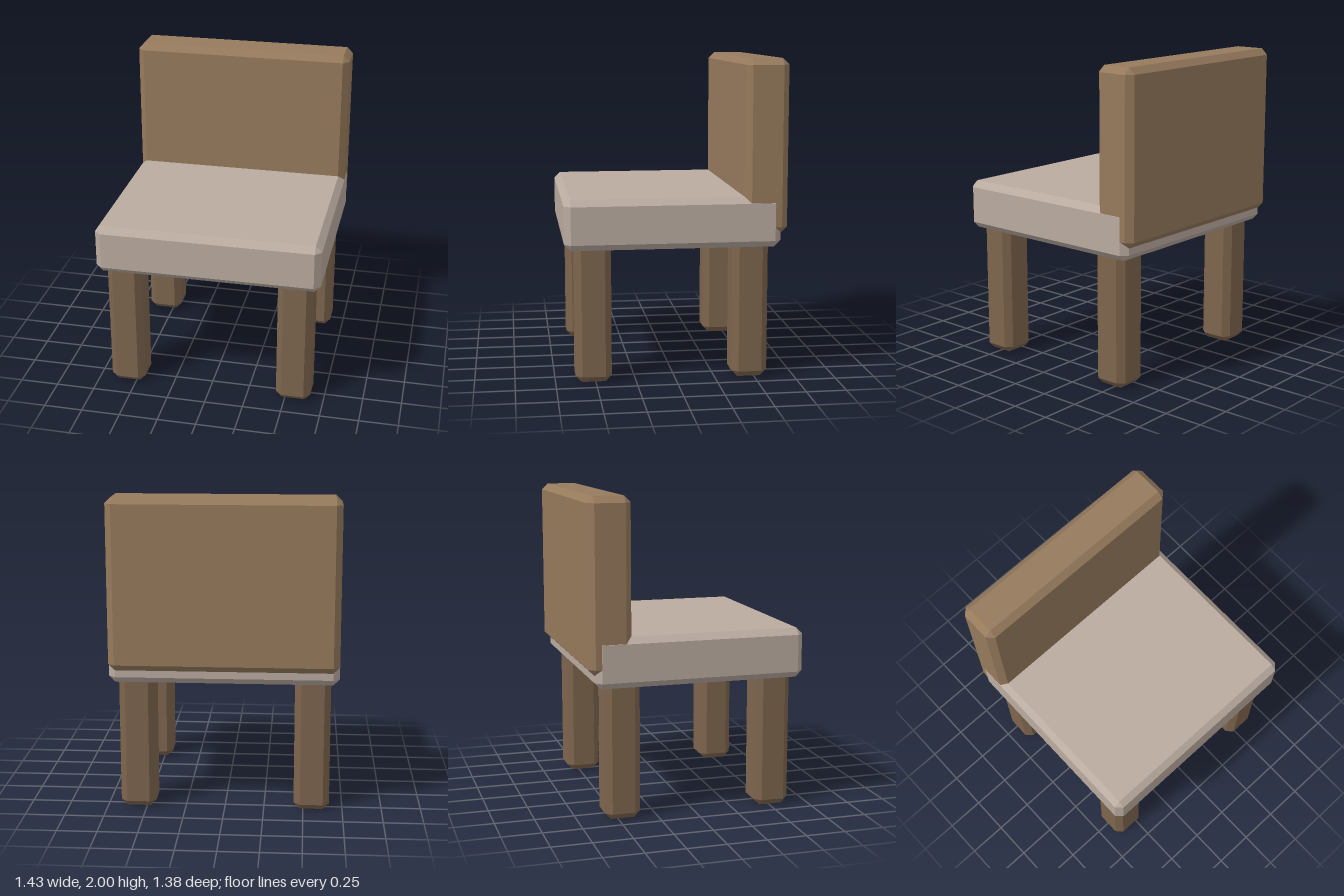
import * as THREE from 'three';
import { ConvexGeometry } from 'three/addons/geometries/ConvexGeometry.js';

const BEVEL = 0.04;

// Box with evenly chamfered edges: three points around each corner
function chamferBox(w, h, d, c = BEVEL) {
  const points = [];
  for (const sx of [-1, 1]) for (const sy of [-1, 1]) for (const sz of [-1, 1]) {
    const x = w / 2, y = h / 2, z = d / 2;
    points.push(
      new THREE.Vector3(sx * x, sy * (y - c), sz * (z - c)),
      new THREE.Vector3(sx * (x - c), sy * y, sz * (z - c)),
      new THREE.Vector3(sx * (x - c), sy * (y - c), sz * z)
    );
  }
  return new ConvexGeometry(points);
}

export function createModel() {
  const chair = new THREE.Group();
  chair.name = 'chair';

  const paint = (color) => new THREE.MeshStandardMaterial({ color, flatShading: true });
  const backWood = paint(0x967a5c);
  const legWood = paint(0x7d654d);
  const cushion = paint(0xbaaba0);

  function add(name, geometry, material, x, y, z) {
    const mesh = new THREE.Mesh(geometry, material);
    mesh.name = name;
    mesh.position.set(x, y, z);
    chair.add(mesh);
  }

  // Seat slab
  add('seat', chamferBox(1.434, 0.315, 1.34), cushion, 0, 0.9975, 0.02);

  // Backrest, a hair narrower than the seat so their sides do not coincide
  add('backrest', chamferBox(1.431, 1.075, 0.27), backWood, 0, 1.4625, -0.555);

  // Four legs, reaching a little into the seat
  const legGeometry = chamferBox(0.226, 0.92, 0.226);
  for (const [side, x] of [['left', 0.553], ['right', -0.553]]) {
    for (const [end, z] of [['Front', 0.513], ['Back', -0.469]]) {
      add(`${side}${end}Leg`, legGeometry, legWood, x, 0.46, z);
    }
  }

  return chair;
}
